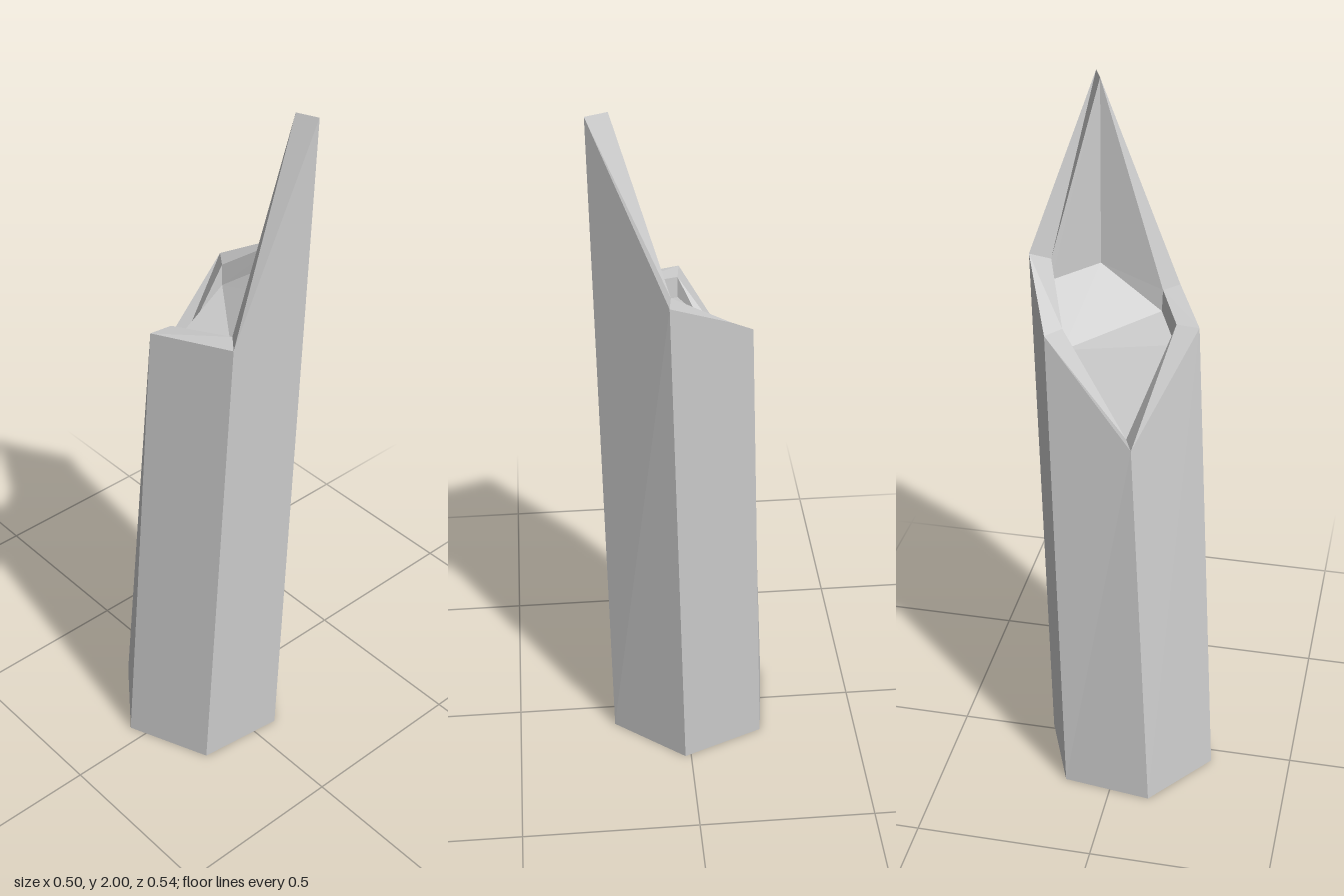
import * as THREE from 'three';

// Hexagonal rings, corners listed clockwise from above starting at the back.
const BASE = [[0.017, 0, -0.228], [0.217, 0, -0.075], [0.187, 0, 0.173], [-0.048, 0, 0.27], [-0.248, 0, 0.117], [-0.215, 0, -0.135]];
const RIM_OUTER = [[0.06, 1.555, -0.272], [0.247, 2, -0.129], [0.215, 1.43, 0.106], [-0.001, 1.415, 0.195], [-0.188, 1.135, 0.052], [-0.158, 1.432, -0.18]];
const RIM_INNER = [[0.052, 1.55, -0.21], [0.19, 2, -0.106], [0.167, 1.432, 0.067], [0.007, 1.415, 0.133], [-0.131, 1.135, 0.028], [-0.109, 1.432, -0.144]];
const FLOOR = [[0.05, 1.49, -0.21], [0.187, 1.487, -0.107], [0.165, 1.37, 0.065], [0.007, 1.355, 0.13], [-0.128, 1.08, 0.027], [-0.107, 1.37, -0.143]];

const material = new THREE.MeshStandardMaterial({ color: 0xcccccc, flatShading: true });

function facetMesh(name, corners) {
  const geometry = new THREE.BufferGeometry();
  geometry.setAttribute('position', new THREE.Float32BufferAttribute(corners.flat(), 3));
  geometry.computeVertexNormals();
  const mesh = new THREE.Mesh(geometry, material);
  mesh.name = name;
  return mesh;
}

// Band of quads joining two rings
function band(name, from, to) {
  const corners = [];
  from.forEach((a, i) => {
    const j = (i + 1) % from.length;
    corners.push(from[j], a, to[i], from[j], to[i], to[j]);
  });
  return facetMesh(name, corners);
}

// Fan closing a ring, starting at its last corner
function cap(name, ring, facingUp) {
  const corners = [];
  const hub = ring[ring.length - 1];
  for (let i = 0; i < ring.length - 2; i++) {
    if (facingUp) corners.push(hub, ring[i + 1], ring[i]);
    else corners.push(hub, ring[i], ring[i + 1]);
  }
  return facetMesh(name, corners);
}

export function createModel() {
  const group = new THREE.Group();
  group.name = 'brokenHexagonalColumn';
  group.add(
    cap('base', BASE, false),
    band('shaft', BASE, RIM_OUTER),
    band('brokenRim', RIM_OUTER, RIM_INNER),
    band('innerWall', RIM_INNER, FLOOR),
    cap('recessedFloor', FLOOR, true)
  );
  return group;
}
